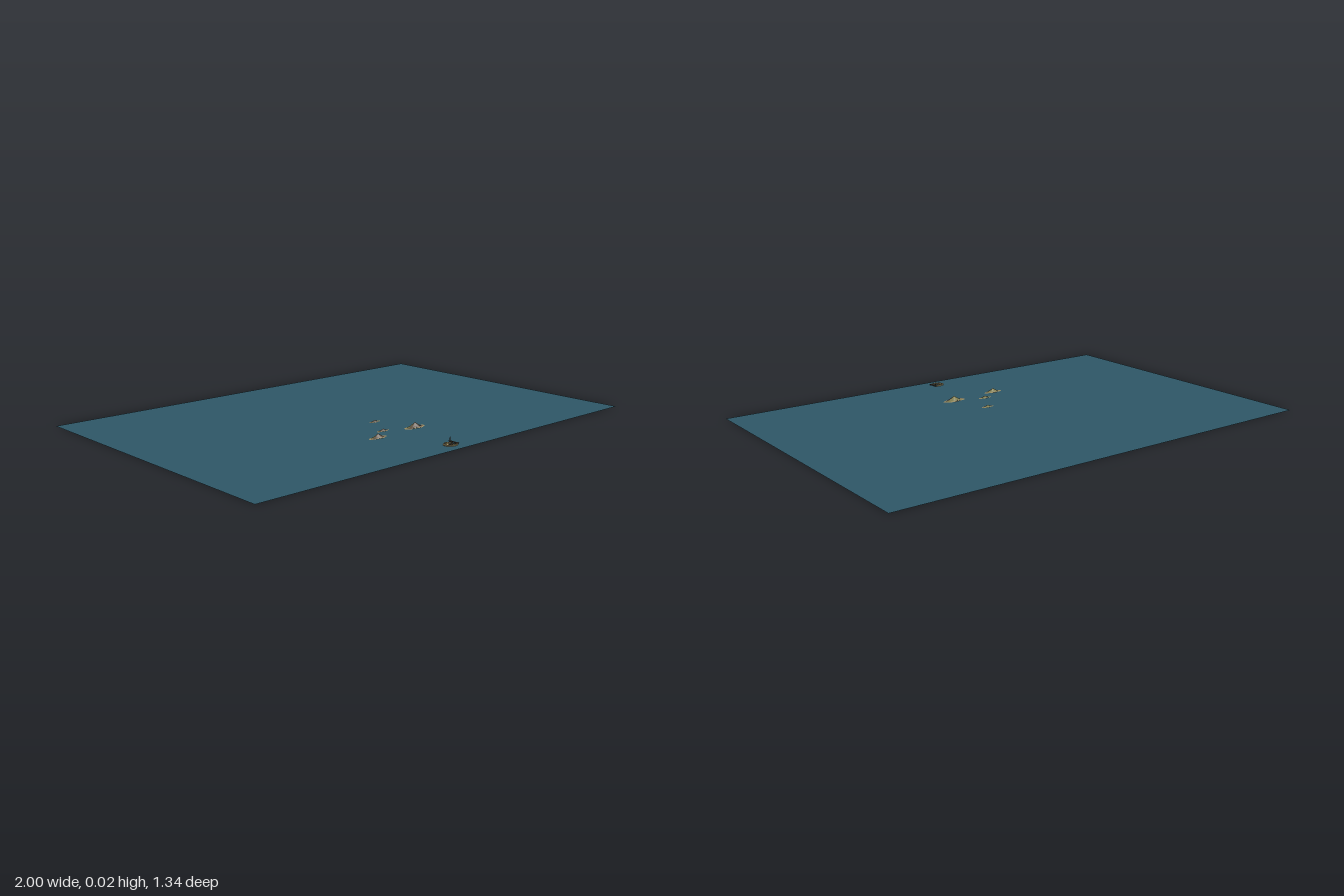
import * as THREE from 'three';

const mat = (color, side = THREE.FrontSide) =>
  new THREE.MeshStandardMaterial({ color, side, flatShading: true });

const SEA = mat(0x2e5666, THREE.DoubleSide);
const SAND = mat(0x9c8c62);
const ROCK = mat(0x5e5144);
const GRASS = mat(0x7d7a4c);
const WOOD = mat(0x4a3a2c);

function add(parent, name, geometry, material, x = 0, y = 0, z = 0) {
  const mesh = new THREE.Mesh(geometry, material);
  mesh.name = name;
  mesh.position.set(x, y, z);
  parent.add(mesh);
  return mesh;
}

// Band of a lens-shaped hill between two scales of its outline (1 = shore, 0 = crest)
function hillBand(w, d, h, outer, inner, from = 0, to = Math.PI * 2) {
  const n = 20, rows = 3, pos = [], idx = [];
  for (let r = 0; r <= rows; r++) {
    const s = outer + (inner - outer) * r / rows;
    for (let i = 0; i <= n; i++) {
      const a = from + (to - from) * i / n;
      const x = Math.cos(a), z = Math.sin(a) * (0.88 + 0.12 * Math.cos(a * 5));
      // crest runs along x and falls in a bell curve to both tips
      const crest = Math.exp(-3 * (x * s) ** 2) * (1 - s * s * x * x);
      const bump = 1 + 0.12 * Math.sin(a * 4 + s * 5) * s;
      pos.push(x * s * w, h * crest * (1 - s) * bump, z * s * d);
    }
  }
  for (let r = 0; r < rows; r++) for (let i = 0; i < n; i++) {
    const a = r * (n + 1) + i, b = a + n + 1;
    idx.push(a, b, a + 1, a + 1, b, b + 1);
  }
  const g = new THREE.BufferGeometry();
  g.setAttribute('position', new THREE.Float32BufferAttribute(pos, 3));
  g.setIndex(idx);
  const flat = g.toNonIndexed();
  flat.computeVertexNormals();
  return flat;
}

// Hill with a sandy rim, a rocky front and a grassy back
function island(name, x, z, w, d, h) {
  const g = new THREE.Group();
  g.name = name;
  g.position.set(x, 0.001, z);
  add(g, 'shore', hillBand(w, d, h, 1, 0.82), SAND);
  add(g, 'rockyFront', hillBand(w, d, h, 0.82, 0, 0, Math.PI), ROCK);
  add(g, 'grassyBack', hillBand(w, d, h, 0.82, 0, Math.PI, Math.PI * 2), GRASS);
  return g;
}

// Crescent islet with huts, a jetty and a mast around a small cove
function harbour() {
  const g = new THREE.Group();
  g.name = 'harbourIslet';
  g.position.set(-0.015, 0, 0.608);

  const s = new THREE.Shape();
  s.absarc(0, 0, 0.026, 0.7, Math.PI * 2 - 0.7, false);
  s.absarc(0.006, 0, 0.014, Math.PI * 2 - 0.9, 0.9, true);
  const land = new THREE.ExtrudeGeometry(s, { depth: 0.003, bevelEnabled: false, curveSegments: 14 });
  land.rotateX(-Math.PI / 2).scale(1.25, 1, 1);
  add(g, 'crescentBeach', land, SAND, 0, 0.001, 0);

  for (let i = 0; i < 7; i++) {
    const a = 1.1 + i * 0.68;
    const rock = add(g, 'rock' + i, new THREE.DodecahedronGeometry(0.0035 + 0.001 * (i % 3)),
      i % 2 ? GRASS : ROCK, Math.cos(a) * 0.024, 0.004, Math.sin(a) * 0.02);
    rock.scale.y = 0.7;
    rock.rotation.y = i;
  }

  // jetty on posts
  add(g, 'jettyDeck', new THREE.BoxGeometry(0.008, 0.0015, 0.046), WOOD, 0.027, 0.005, -0.008);
  add(g, 'jettyHead', new THREE.BoxGeometry(0.02, 0.0015, 0.006), WOOD, 0.022, 0.005, 0.012);
  for (const z of [-0.028, -0.015, -0.002, 0.012]) for (const x of [0.024, 0.03])
    add(g, 'jettyPost', new THREE.CylinderGeometry(0.0008, 0.0008, 0.007, 6), WOOD, x, 0.0035, z);

  // huts beside the cove
  for (const [x, z] of [[-0.004, 0.004], [0.008, 0.003]]) {
    add(g, 'hut', new THREE.BoxGeometry(0.006, 0.004, 0.005), WOOD, x, 0.003, z);
    const roof = add(g, 'hutRoof', new THREE.ConeGeometry(0.005, 0.003, 4), ROCK, x, 0.0065, z);
    roof.rotation.y = Math.PI / 4;
  }

  add(g, 'mast', new THREE.CylinderGeometry(0.0009, 0.0013, 0.021, 8), WOOD, 0.027, 0.0125, -0.028);
  return g;
}

export function createModel() {
  const model = new THREE.Group();
  model.name = 'archipelago';

  // sea sheet
  add(model, 'sea', new THREE.PlaneGeometry(2, 1.34).rotateX(-Math.PI / 2), SEA);

  model.add(
    island('westIsland', -0.151, 0.349, 0.046, 0.018, 0.017),
    island('eastIsland', 0.075, 0.33, 0.055, 0.024, 0.021),
    island('middleIslet', -0.063, 0.286, 0.033, 0.012, 0.009),
    island('farIslet', 0.015, 0.157, 0.03, 0.012, 0.008),
    harbour(),
  );
  return model;
}
